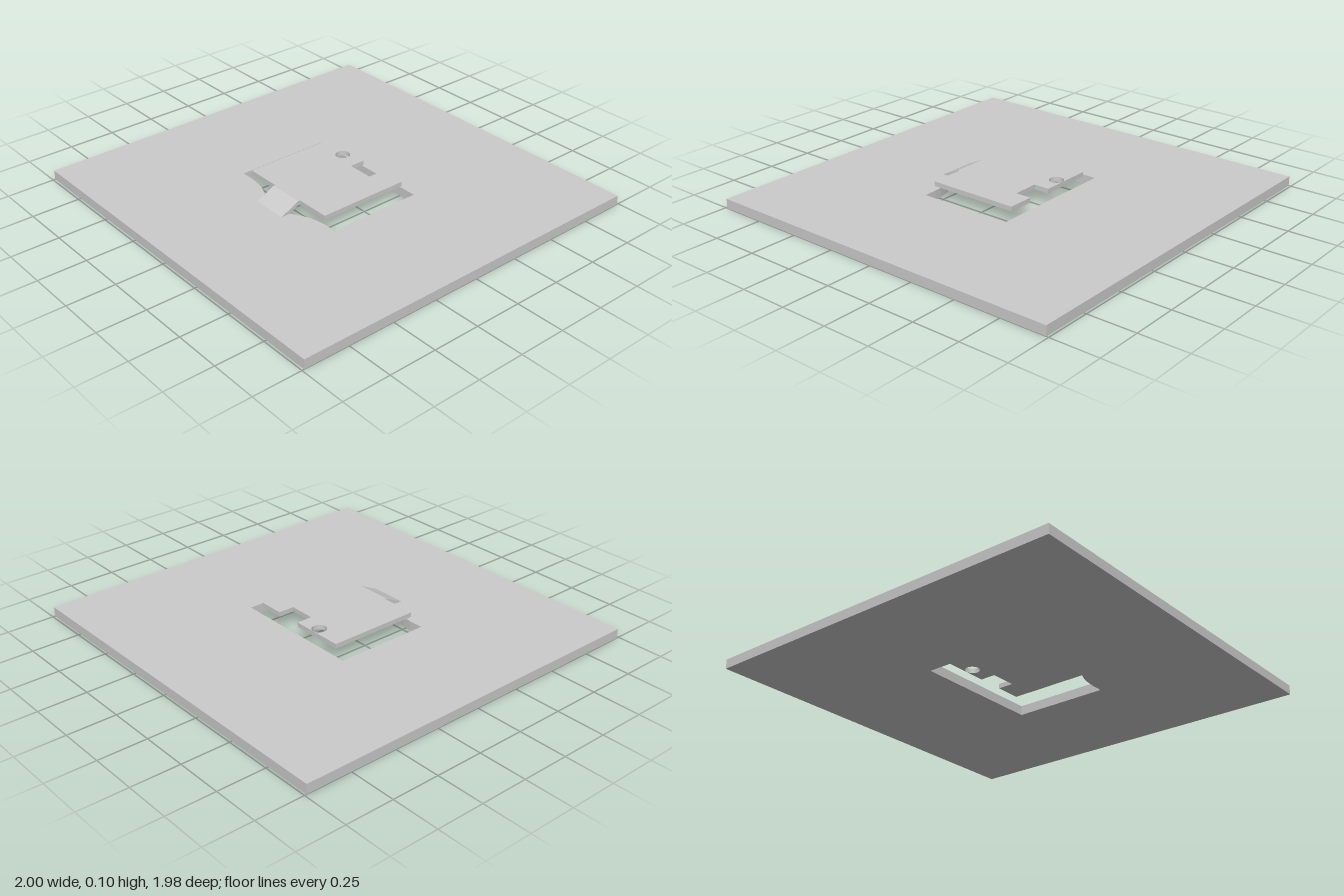
import * as THREE from 'three';

const material = new THREE.MeshStandardMaterial({ color: 0xcccccc, flatShading: true });

// Trace plan points given as [x, z]
const trace = (path, points) => {
  points.forEach(([x, z], i) => (i ? path.lineTo(x, -z) : path.moveTo(x, -z)));
  path.closePath();
  return path;
};

// Flat sheet: plan outline raised from y by a thickness
function sheet(name, shape, y, thickness) {
  const geometry = new THREE.ExtrudeGeometry(shape, { depth: thickness, bevelEnabled: false, curveSegments: 24 });
  geometry.rotateX(-Math.PI / 2).translate(0, y, 0);
  const mesh = new THREE.Mesh(geometry, material);
  mesh.name = name;
  return mesh;
}

export function createModel() {
  const group = new THREE.Group();
  group.name = 'plateWithRaisedFlap';

  // Base plate with a window whose front edge flares towards the tab
  const base = trace(new THREE.Shape(), [[-1, 0.988], [1, 0.988], [1, -0.988], [-1, -0.988]]);
  const flare = [[0.28, 0.274], [0.235, 0.279], [0.19, 0.289], [0.145, 0.308], [0.095, 0.34]];
  base.holes.push(trace(new THREE.Path(), [
    [-0.357, -0.235], [0.349, -0.235], [0.349, 0.274],
    ...flare,
    ...flare.map(([x, z]) => [-x, z]).reverse(),
    [-0.357, 0.274],
  ]));
  group.add(sheet('basePlate', base, 0, 0.05));

  // Raised flap with a notch in its rear edge and a round hole
  const flap = trace(new THREE.Shape(), [
    [-0.283, 0.276], [0.28, 0.276], [0.28, -0.215], [0.14, -0.215],
    [0.14, -0.13], [0, -0.13], [0, -0.215], [-0.283, -0.215],
  ]);
  const eye = new THREE.Path();
  eye.absarc(-0.116, 0.176, 0.038, 0, Math.PI * 2);
  flap.holes.push(eye);
  group.add(sheet('flap', flap, 0.075, 0.025));

  // Sloping tab joining the flap to the plate, profile given as [z, y]
  const profile = new THREE.Shape([
    [0.276, 0.075], [0.29, 0.075], [0.348, 0.05], [0.388, 0.05], [0.285, 0.1], [0.276, 0.1],
  ].map(([z, y]) => new THREE.Vector2(z, y)));
  const tabGeometry = new THREE.ExtrudeGeometry(profile, { depth: 0.19, bevelEnabled: false });
  tabGeometry.translate(0, 0, -0.095).rotateY(-Math.PI / 2);
  const tab = new THREE.Mesh(tabGeometry, material);
  tab.name = 'slopingTab';
  group.add(tab);

  return group;
}
